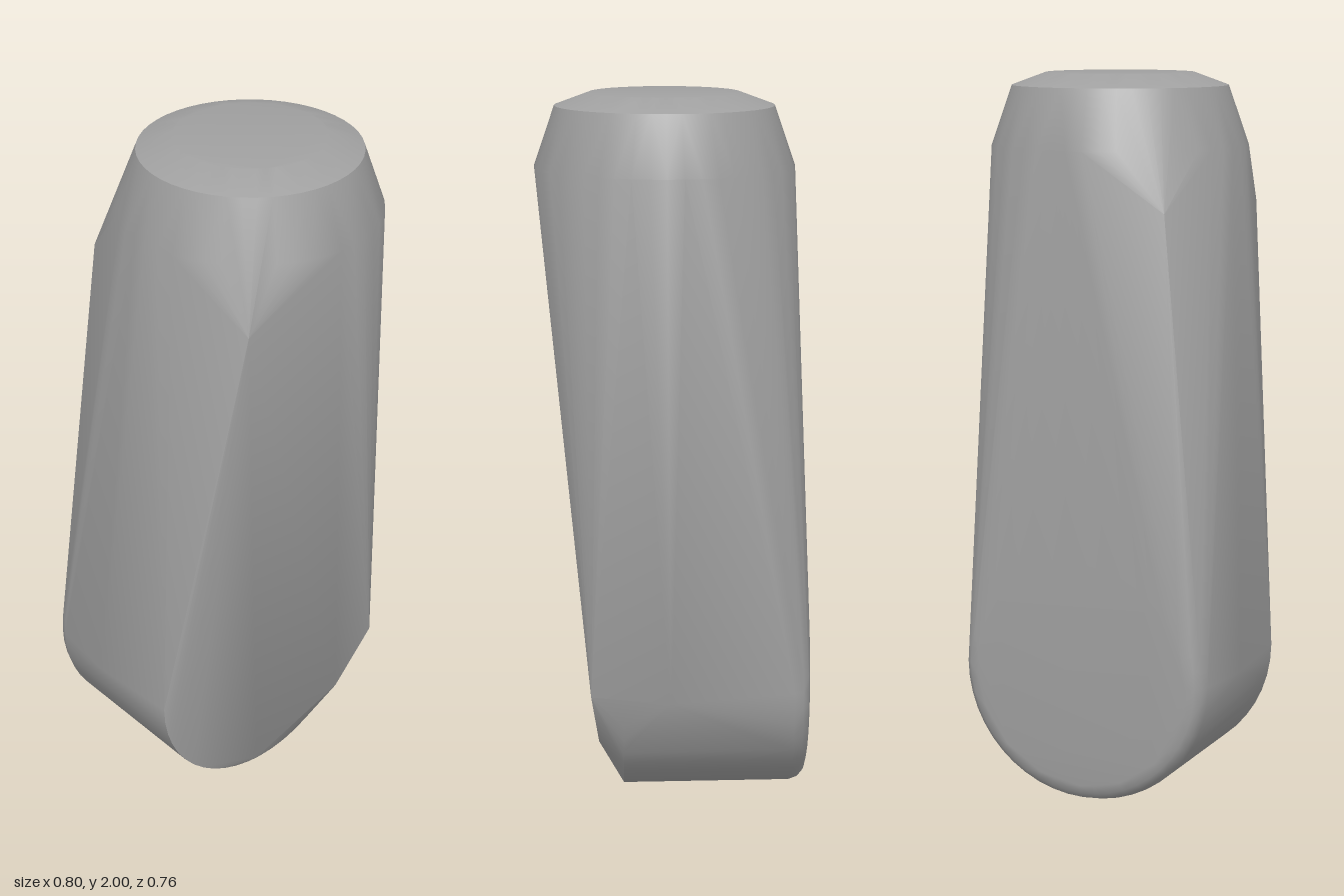
import * as THREE from 'three';
import { ConvexGeometry } from 'three/addons/geometries/ConvexGeometry.js';
import { toCreasedNormals } from 'three/addons/utils/BufferGeometryUtils.js';

const SEGMENTS = 48;

// Adds a ring of points; place(u, v) maps the flat circle into space
function addRing(points, radius, place) {
  for (let i = 0; i < SEGMENTS; i++) {
    const a = (i / SEGMENTS) * Math.PI * 2;
    points.push(place(Math.cos(a) * radius, Math.sin(a) * radius));
  }
}

export function createModel() {
  const stone = new THREE.MeshStandardMaterial({ color: 0xa0a0a0 });
  stone.name = 'stone grey';
  const points = [];

  // Round crown: [height, radius]
  for (const [y, r] of [[2, 0.208], [1.965, 0.303], [1.8, 0.36]]) {
    addRing(points, r, (u, v) => new THREE.Vector3(0.035 + u, y, 0.02 + v));
  }

  // Rounded foot, a drum lying front to back: [depth, radius]
  for (const [z, r] of [[-0.38, 0.315], [-0.374, 0.338], [-0.36, 0.354], [-0.335, 0.363], [0.14, 0.368]]) {
    addRing(points, r, (u, v) => new THREE.Vector3(-0.02 + u, 0.368 + v, z));
  }

  // Shoulder corners, side bulges and the slanted lower front edge
  const corners = [
    [-0.25, 1.63, 0.345], [-0.24, 1.64, -0.31],
    [-0.4, 0.36, -0.14], [0.395, 0.36, 0.01],
    [0.335, 0.36, 0.23], [0.22, 0.19, 0.21], [-0.05, 0.02, 0.158],
  ];
  for (const c of corners) points.push(new THREE.Vector3(...c));

  // Tight skin over all the sections, smooth with sharp main edges
  const body = new THREE.Mesh(toCreasedNormals(new ConvexGeometry(points), 0.6), stone);
  body.name = 'body';

  const group = new THREE.Group();
  group.name = 'roundedBlock';
  group.add(body);
  return group;
}
